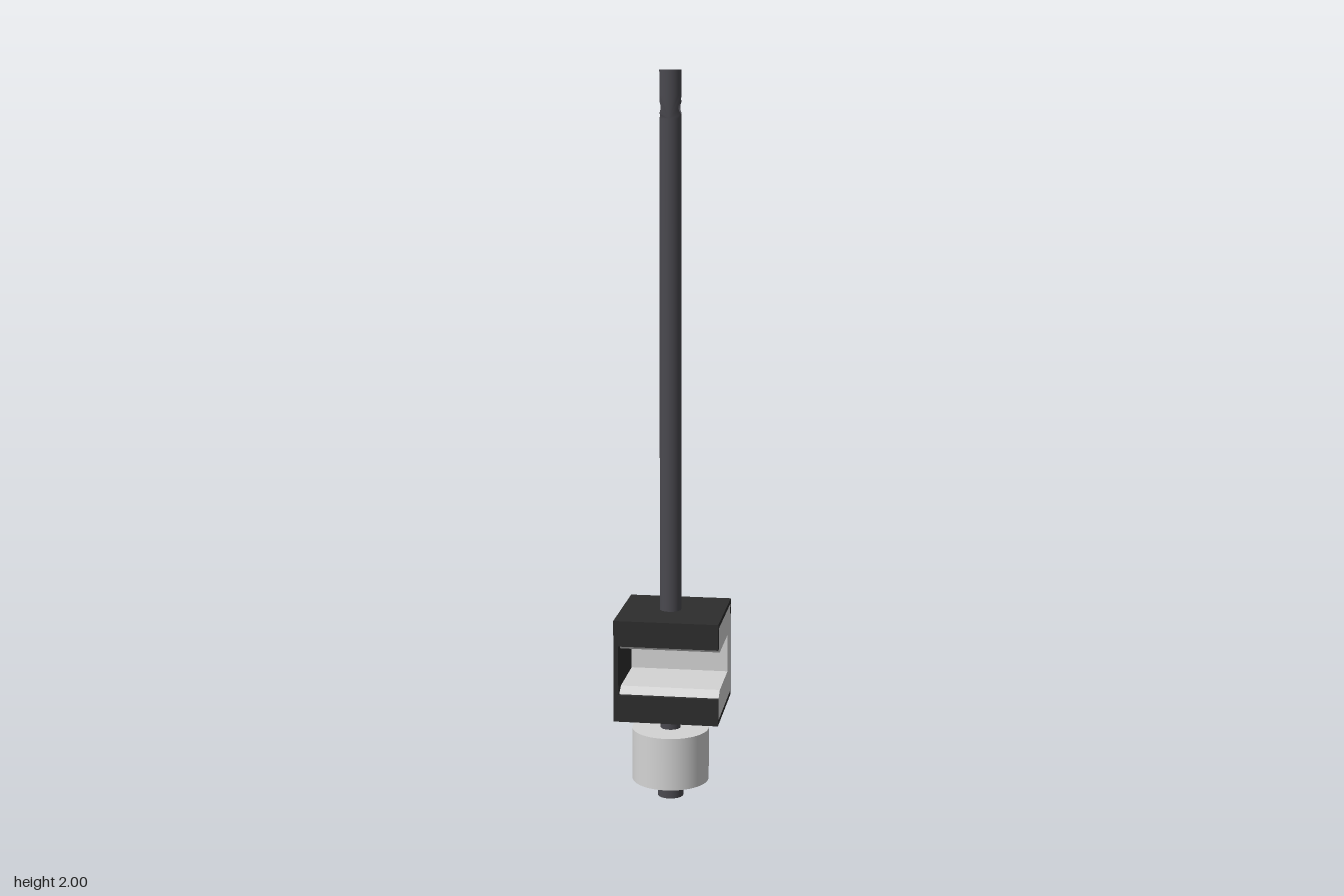
import * as THREE from 'three';

const mat = (name, color) => Object.assign(new THREE.MeshStandardMaterial({ color }), { name });

export function createModel() {
  const group = new THREE.Group();
  const black = mat('blackHousing', 0x2d2d2d);
  const darkGrey = mat('darkGreyMetal', 0x4a494f);
  const lightGrey = mat('lightGrey', 0xd4d4d4);

  const add = (name, geometry, material, x = 0, y = 0, z = 0) => {
    const mesh = new THREE.Mesh(geometry, material);
    mesh.name = name;
    mesh.position.set(x, y, z);
    group.add(mesh);
  };

  // everything round shares one slightly offset vertical axis
  const AX = -0.008, AZ = -0.002;
  const cylinder = (name, r, y0, y1, material) =>
    add(name, new THREE.CylinderGeometry(r, r, y1 - y0, 48), material, AX, (y0 + y1) / 2, AZ);

  // extrudes a side profile of [z, y] points from x0 to x1
  const sideExtrude = (points, x0, x1) => {
    const shape = new THREE.Shape(points.map(([z, y]) => new THREE.Vector2(-z, y)));
    return new THREE.ExtrudeGeometry(shape, { depth: x1 - x0, bevelEnabled: false })
      .rotateY(Math.PI / 2).translate(x0, 0, 0);
  };

  // housing: C-shaped shell, closed on one side
  const H = 0.143, W = 0.013, Y0 = 0.254, Y1 = 0.537, S0 = 0.328, S1 = 0.466;
  const I = H - W;
  add('housingShell', sideExtrude([
    [H, Y0], [H, S0], [I, S0], [I, Y0 + W], [-I, Y0 + W], [-I, Y1 - W],
    [I, Y1 - W], [I, S1], [H, S1], [H, Y1], [-H, Y1], [-H, Y0],
  ], -I, H), black);
  add('housingEndWall', new THREE.BoxGeometry(W, Y1 - Y0, 2 * H), black, -H + W / 2, (Y0 + Y1) / 2, 0);

  // liner: C-shaped insert with eased slot lips
  add('slotLiner', sideExtrude([
    [I, Y0 + W], [I, S0], [0.122, 0.331], [0.112, 0.338], [0.102, 0.344], [-0.072, 0.344],
    [-0.072, 0.451], [0.108, 0.451], [0.113, 0.457], [0.12, 0.463], [I, S1],
    [I, Y1 - W], [-I, Y1 - W], [-I, Y0 + W],
  ], -I, H), lightGrey);

  // lower spindle and collar
  cylinder('spindleTip', 0.036, 0, 0.05, darkGrey);
  cylinder('collar', 0.107, 0.05, 0.198, lightGrey);
  cylinder('spindleNeck', 0.028, 0.198, Y0, darkGrey);

  // long rod, with a short drilled section near the top
  const R = 0.0295, HOLE = 0.0175, HY = 1.903, HALF = 0.03;
  cylinder('rod', R, Y1, HY - HALF, darkGrey);
  cylinder('rodTop', R, HY + HALF, 2, darkGrey);
  add('drilledRodSection', drilledSection(R, HOLE, HALF), darkGrey, AX, HY, AZ);

  return group;
}

// flat plate with a hole, whose two faces are wrapped onto a cylinder
function drilledSection(R, hole, half) {
  const N = 24, points = [];
  for (let i = 0; i <= N; i++) points.push(new THREE.Vector2(R * Math.cos(Math.PI * i / N), half));
  for (let i = N; i >= 0; i--) points.push(new THREE.Vector2(R * Math.cos(Math.PI * i / N), -half));
  const shape = new THREE.Shape(points);
  shape.holes.push(new THREE.Path().absarc(0, 0, hole, 0, Math.PI * 2, true));
  const geo = new THREE.ExtrudeGeometry(shape, { depth: 2, bevelEnabled: false, curveSegments: 16 });
  geo.translate(0, 0, -1);
  const p = geo.attributes.position, n = geo.attributes.normal;
  for (let i = 0; i < p.count; i++) {
    const x = p.getX(i);
    const z = Math.sign(p.getZ(i)) * Math.sqrt(Math.max(0, R * R - x * x));
    p.setZ(i, z);
    if (Math.abs(n.getZ(i)) > 0.5) n.setXYZ(i, x / R, 0, z / R);
  }
  return geo.rotateY(Math.PI / 2);
}
